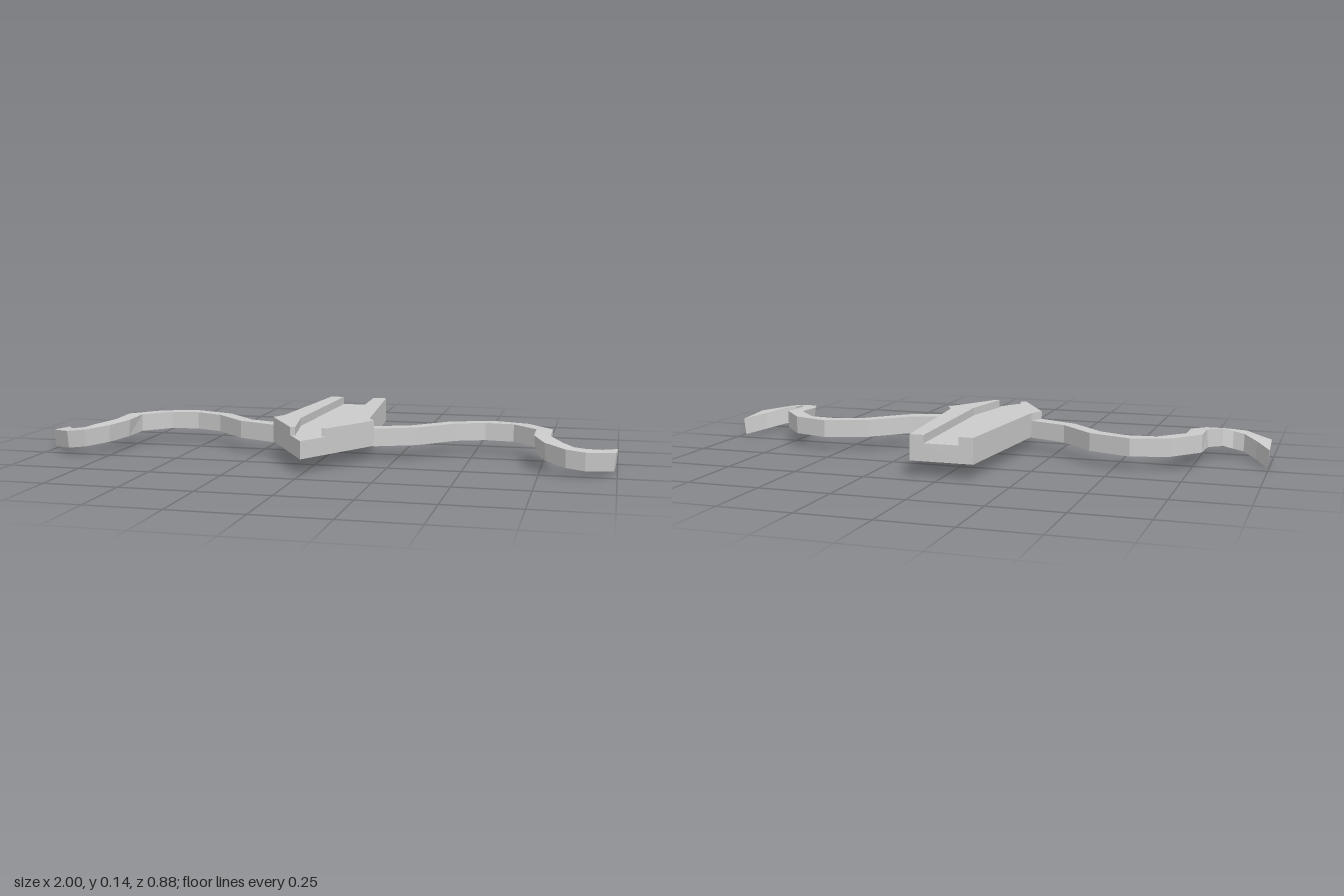
import * as THREE from 'three';

const material = new THREE.MeshStandardMaterial({ color: 0xcccccc, flatShading: true });

// Flat plate from an outline of [x, z] points, between two heights
function plate(name, outline, bottom, top) {
  const shape = new THREE.Shape(outline.map(([x, z]) => new THREE.Vector2(x, z)));
  const geometry = new THREE.ExtrudeGeometry(shape, { depth: top - bottom, bevelEnabled: false });
  geometry.rotateX(Math.PI / 2).translate(0, top, 0);
  const mesh = new THREE.Mesh(geometry, material);
  mesh.name = name;
  return mesh;
}

// Arm stations: back edge x, z, front edge x, z, top height
const stations = [
  [0.155, 0.08, 0.18, 0.13, 0.115],
  [0.29, 0.03, 0.32, 0.07, 0.115],
  [0.41, -0.09, 0.44, -0.05, 0.115],
  [0.56, -0.145, 0.54, -0.09, 0.115],
  [0.69, -0.105, 0.64, -0.08, 0.115],
  [0.78, 0, 0.725, 0.01, 0.115],
  [0.78, 0.12, 0.725, 0.12, 0.112],
  [0.825, 0.2, 0.765, 0.21, 0.104],
  [0.86, 0.215, 0.835, 0.265, 0.094],
  [0.9, 0.205, 0.9, 0.275, 0.088],
  [0.95, 0.14, 0.995, 0.19, 0.076],
  [1, 0.05, 1, 0.05, 0.065],
];

// Curling arm with a rectangular section that thins to a blade at its tip
function arm(name, side) {
  const rings = stations.map(([ax, az, bx, bz, top], i) => {
    const lean = i > 5 ? 0.05 : 0; // hooked end leans towards the hook's middle
    const low = (x, z) => [x + (0.88 - x) * lean, top - 0.062, z + (0.1 - z) * lean];
    return [[ax, top, az], [bx, top, bz], low(bx, bz), low(ax, az)]
      .map(([x, y, z]) => [x * side, y, z]);
  });
  const positions = [];
  const quad = (a, b, c, d) => {
    const corners = side > 0 ? [a, b, c, a, c, d] : [a, c, b, a, d, c];
    corners.forEach((p) => positions.push(...p));
  };
  for (let i = 0; i < rings.length - 1; i++) {
    for (let k = 0; k < 4; k++) {
      const n = (k + 1) % 4;
      quad(rings[i][k], rings[i][n], rings[i + 1][n], rings[i + 1][k]);
    }
  }
  const geometry = new THREE.BufferGeometry();
  geometry.setAttribute('position', new THREE.Float32BufferAttribute(positions, 3));
  geometry.computeVertexNormals();
  const mesh = new THREE.Mesh(geometry, material);
  mesh.name = name;
  return mesh;
}

export function createModel() {
  const group = new THREE.Group();
  group.name = 'crossbowFrame';

  // Pointed stock
  const half = [[0.18, 0.13], [0.155, 0.08], [0.11, -0.44]];
  const mirrored = half.map(([x, z]) => [-x, z]).reverse();
  group.add(plate('stock', [[0, 0.435], ...half, ...mirrored], 0.055, 0.115));

  for (const side of [1, -1]) {
    const label = side > 0 ? 'left' : 'right';
    // Raised rail beside the central groove
    const rail = [[0.045, 0.33], [0.063, 0.33], ...half, [0.06, -0.44], [0.08, 0.13]];
    group.add(plate(label + 'Rail', rail.map(([x, z]) => [x * side, z]), 0.115, 0.143));
    group.add(arm(label + 'Arm', side));
  }
  return group;
}
